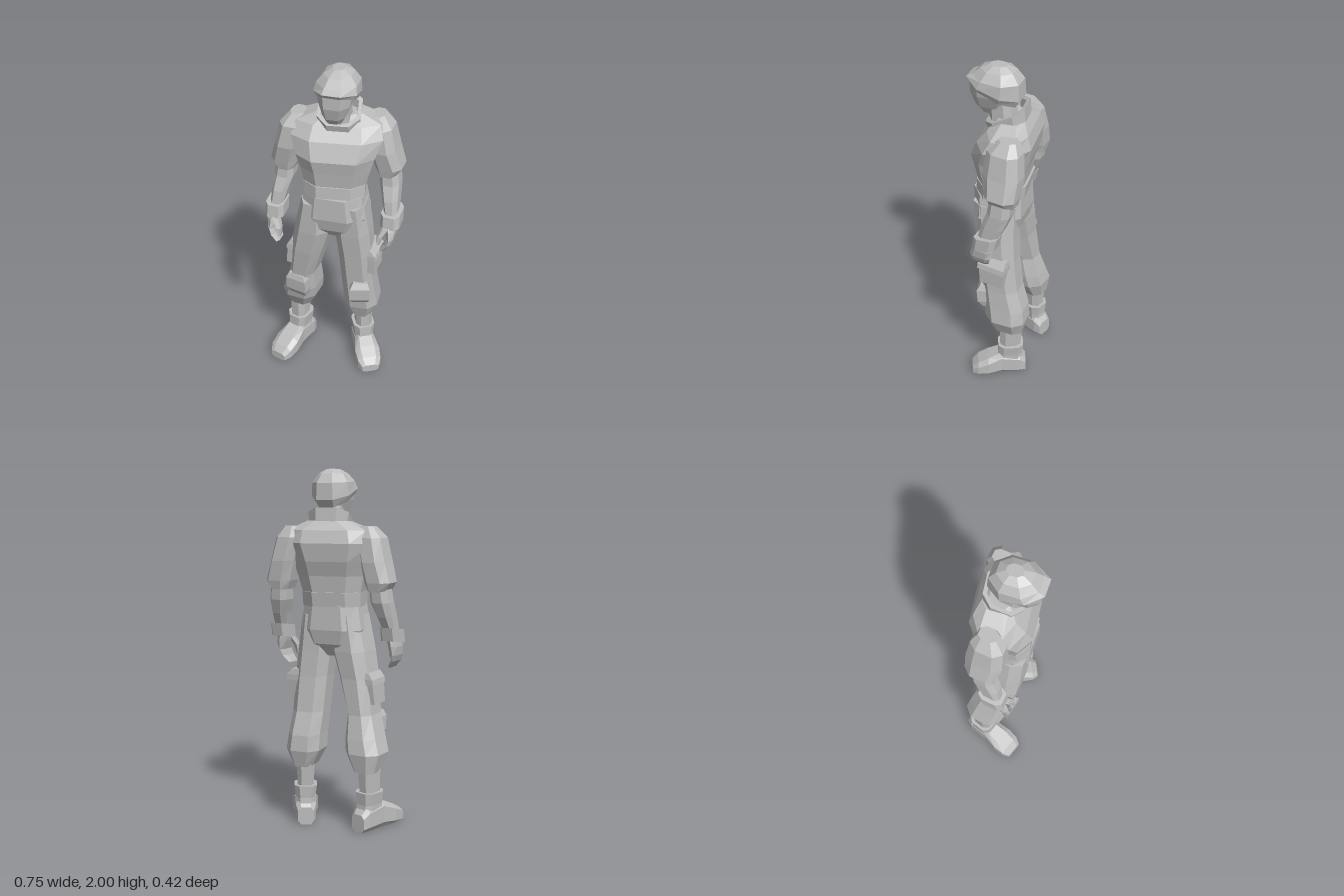
import * as THREE from 'three';

const grey = new THREE.MeshStandardMaterial({ color: 0xbdbdbd });
grey.name = 'plain grey';

// Flat-faced loft. Each row is [y, x0, x1, z0, z1, tilt]: the box a ring fills,
// and how much the ring rises towards +z. Rings turn by yaw about their middle.
function loft(name, rows, { n = 8, yaw = 0, k = 0.75 } = {}) {
  if (rows[0][0] > rows[rows.length - 1][0]) rows = [...rows].reverse();
  const pos = [], idx = [], reach = Math.cos(Math.PI / n);
  const push = (cx, cy, cz, x, z, tilt) => pos.push(
    cx + x * Math.cos(yaw) + z * Math.sin(yaw), cy + z * tilt, cz - x * Math.sin(yaw) + z * Math.cos(yaw));
  const bend = (v) => Math.sign(v) * Math.pow(Math.abs(v) / reach, k);
  for (const [y, x0, x1, z0, z1, tilt = 0] of rows) {
    for (let j = 0; j < n; j++) {
      const a = ((j + 0.5) / n) * Math.PI * 2;
      push((x0 + x1) / 2, y, (z0 + z1) / 2,
        bend(Math.cos(a)) * (x1 - x0) / 2, bend(Math.sin(a)) * (z1 - z0) / 2, tilt);
    }
  }
  for (let i = 0; i < rows.length - 1; i++) {
    for (let j = 0; j < n; j++) {
      const a = i * n + j, b = i * n + (j + 1) % n;
      idx.push(a, a + n, b, b, a + n, b + n);
    }
  }
  // end caps
  const last = (rows.length - 1) * n;
  for (let j = 1; j < n - 1; j++) {
    idx.push(0, j, j + 1, last, last + j + 1, last + j);
  }
  const indexed = new THREE.BufferGeometry();
  indexed.setAttribute('position', new THREE.Float32BufferAttribute(pos, 3));
  indexed.setIndex(idx);
  const g = indexed.toNonIndexed();
  g.computeVertexNormals();
  const mesh = new THREE.Mesh(g, grey);
  mesh.name = name;
  return mesh;
}

export function createModel() {
  const model = new THREE.Group();
  model.name = 'standingFigure';
  const add = (...args) => model.add(loft(...args));
  const turn = 0.22;

  // Jacket, hem band and upright collar
  add('jacket', [
    [1.31, -0.16, 0.165, -0.11, 0.14], [1.42, -0.18, 0.195, -0.125, 0.155],
    [1.5, -0.205, 0.215, -0.15, 0.17], [1.6, -0.24, 0.25, -0.165, 0.13],
    [1.67, -0.22, 0.23, -0.145, 0.075], [1.72, -0.1, 0.12, -0.115, 0.03],
  ], { yaw: turn, k: 0.65 });
  add('jacketHem', [
    [1.25, -0.162, 0.168, -0.115, 0.155], [1.33, -0.165, 0.17, -0.125, 0.15],
  ], { yaw: turn, k: 0.65 });
  add('collar', [
    [1.65, -0.09, 0.12, -0.12, 0.08, -0.3], [1.74, -0.1, 0.13, -0.11, 0.1, -0.5],
    [1.74, -0.08, 0.11, -0.09, 0.08, -0.5], [1.68, -0.07, 0.1, -0.08, 0.07, -0.3],
  ], { yaw: turn });

  // Neck, masked face and helmet
  add('neck', [[1.64, -0.045, 0.085, -0.06, 0.08], [1.8, -0.04, 0.08, -0.04, 0.09]]);
  add('face', [
    [1.72, -0.02, 0.065, 0.04, 0.135], [1.76, -0.035, 0.085, 0, 0.165],
    [1.83, -0.055, 0.11, -0.04, 0.185], [1.9, -0.065, 0.12, -0.05, 0.185],
  ], { yaw: 0.1 });
  add('helmet', [
    [1.845, -0.07, 0.125, -0.065, 0.19, 0.42], [1.875, -0.085, 0.14, -0.09, 0.203, 0.3],
    [1.93, -0.078, 0.132, -0.085, 0.17, 0.05], [1.975, -0.045, 0.1, -0.05, 0.13],
    [2, -0.005, 0.06, -0.005, 0.08],
  ], { yaw: 0.1, k: 0.95 });

  // Hips and seat of the trousers
  add('hips', [
    [0.97, -0.04, 0.05, -0.05, 0.09], [1.04, -0.14, 0.15, -0.1, 0.145],
    [1.12, -0.18, 0.19, -0.115, 0.165], [1.26, -0.155, 0.165, -0.11, 0.165],
  ], { yaw: 0.1 });

  // Arms: written for the left, mirrored and moved forward for the right
  for (const [side, s, dx, dz] of [['left', 1, 0, 0], ['right', -1, 0.015, 0.115]]) {
    const arm = (part, rows, opts) => add(side + part, rows.map(([y, x0, x1, z0, z1, t]) => {
      const a = s * (x0 + dx), b = s * (x1 + dx);
      return [y, Math.min(a, b), Math.max(a, b), z0 + dz, z1 + dz, t];
    }), opts);
    arm('Sleeve', [
      [1.69, 0.16, 0.235, -0.16, -0.06], [1.63, 0.14, 0.285, -0.19, -0.01],
      [1.5, 0.17, 0.315, -0.205, 0], [1.39, 0.195, 0.347, -0.2, -0.02],
      [1.34, 0.215, 0.315, -0.19, -0.03],
    ]);
    arm('Forearm', [
      [1.38, 0.22, 0.32, -0.18, -0.05], [1.28, 0.225, 0.335, -0.17, -0.04],
      [1.2, 0.25, 0.34, -0.14, -0.01], [1.1, 0.275, 0.345, -0.09, 0.01],
    ]);
    arm('Cuff', [
      [1.055, 0.258, 0.368, -0.1, 0.035, -0.15], [1.13, 0.258, 0.365, -0.115, 0.025, -0.15],
    ], { k: 0.6 });
    arm('Palm', [
      [1.08, 0.28, 0.34, -0.07, 0.015], [1.03, 0.29, 0.348, -0.07, 0.04],
      [0.98, 0.305, 0.343, -0.06, 0.055],
    ], { n: 6 });
    arm('Fingers', [
      [0.985, 0.307, 0.343, -0.058, 0.055], [0.945, 0.295, 0.328, -0.045, 0.06],
      [0.905, 0.27, 0.295, -0.025, 0.058],
    ], { n: 6 });
    arm('Thumb', [
      [1.05, 0.275, 0.315, 0, 0.045], [1, 0.255, 0.285, 0.025, 0.065],
      [0.95, 0.256, 0.274, 0.035, 0.065],
    ], { n: 5 });
  }

  // Baggy trouser legs
  add('leftTrouserLeg', [
    [1.2, 0.02, 0.18, -0.1, 0.14], [1, 0.01, 0.205, -0.105, 0.12],
    [0.85, 0.025, 0.215, -0.115, 0.1], [0.65, 0.035, 0.22, -0.14, 0.075],
    [0.52, 0.04, 0.23, -0.18, 0.06], [0.43, 0.04, 0.24, -0.188, 0.045],
    [0.335, 0.085, 0.2, -0.165, 0.01],
  ], { yaw: 0.12 });
  add('rightTrouserLeg', [
    [1.2, -0.165, -0.01, -0.08, 0.165], [1, -0.21, -0.005, -0.085, 0.165],
    [0.85, -0.235, -0.05, -0.08, 0.155], [0.65, -0.258, -0.11, -0.09, 0.13],
    [0.52, -0.3, -0.108, -0.12, 0.11], [0.44, -0.328, -0.118, -0.135, 0.09],
    [0.335, -0.3, -0.17, -0.12, 0.03],
  ], { yaw: -0.05 });

  // Thigh pockets with flaps, and knee pads
  const box = { n: 4 };
  add('leftPocket', [
    [0.72, 0.18, 0.248, -0.09, 0.05], [0.83, 0.18, 0.245, -0.1, 0.055], [0.88, 0.18, 0.218, -0.1, 0.055],
  ], box);
  add('leftPocketFlap', [
    [0.82, 0.17, 0.256, -0.105, 0.06], [0.85, 0.17, 0.25, -0.105, 0.06], [0.885, 0.17, 0.22, -0.1, 0.055],
  ], box);
  add('rightPocket', [
    [0.71, -0.272, -0.2, -0.03, 0.1], [0.82, -0.262, -0.2, -0.04, 0.105], [0.87, -0.235, -0.19, -0.04, 0.105],
  ], box);
  add('rightPocketFlap', [
    [0.82, -0.268, -0.18, -0.045, 0.11], [0.85, -0.262, -0.18, -0.045, 0.11], [0.885, -0.238, -0.18, -0.04, 0.105],
  ], box);
  add('leftKneePad', [
    [0.5, 0.11, 0.2, -0.02, 0.07], [0.54, 0.1, 0.215, -0.02, 0.1],
    [0.62, 0.1, 0.215, -0.02, 0.105], [0.655, 0.115, 0.2, -0.02, 0.085],
  ], { n: 4, yaw: 0.35 });
  add('rightKneePad', [
    [0.5, -0.24, -0.14, 0, 0.12], [0.54, -0.255, -0.13, 0, 0.14],
    [0.62, -0.255, -0.13, 0, 0.145], [0.655, -0.24, -0.145, 0, 0.135],
  ], { n: 4, yaw: -0.15 });

  // Shins, boot tops and feet
  for (const [side, x, z, yaw, stretch] of [['left', 0.142, -0.085, 0.55, 1], ['right', -0.25, -0.035, -0.25, 1.08]]) {
    const leg = new THREE.Group();
    leg.name = side + 'Boot';
    leg.position.set(x, 0, z);
    leg.rotation.y = yaw;
    leg.add(loft(side + 'Shin', [
      [0.18, -0.045, 0.045, -0.06, 0.055], [0.37, -0.052, 0.052, -0.075, 0.06]]));
    leg.add(loft(side + 'BootTop', [
      [0.1, -0.055, 0.055, -0.08, 0.08], [0.15, -0.055, 0.055, -0.075, 0.07],
      [0.22, -0.064, 0.064, -0.08, 0.068]], { k: 0.65 }));
    // foot is lofted from heel to toe, then laid forward
    const foot = loft(side + 'Foot', [
      [-0.095, -0.045, 0.045, -0.1, 0], [-0.06, -0.058, 0.058, -0.14, 0],
      [0.05, -0.06, 0.06, -0.16, 0], [0.13, -0.075, 0.075, -0.12, 0],
      [0.19, -0.07, 0.07, -0.085, 0], [0.225, -0.05, 0.05, -0.05, 0],
    ], { k: 0.6 });
    foot.geometry.rotateX(Math.PI / 2);
    foot.scale.z = stretch;
    leg.add(foot);
    model.add(leg);
  }
  return model;
}
